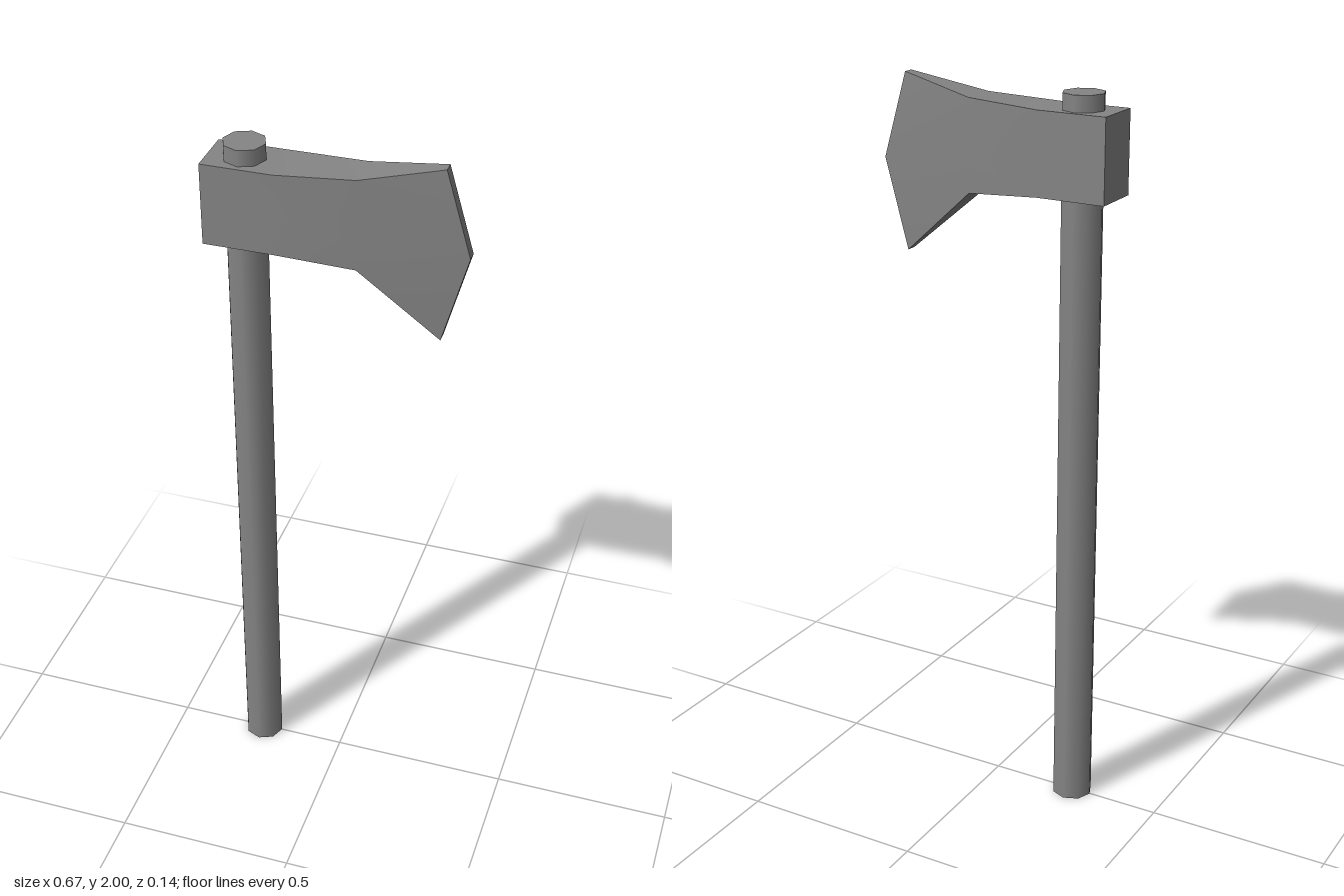
import * as THREE from 'three';
import { toCreasedNormals } from 'three/addons/utils/BufferGeometryUtils.js';

const material = new THREE.MeshStandardMaterial({ color: 0x858585 });

// Skin of the axe head: rings of six corners (front top/mid/bottom, back bottom/mid/top)
function headGeometry() {
  // [x at corners, x at middle, bottom y, middle y, top y, half thickness]
  const stations = [
    [-0.337, -0.337, 1.727, 1.84, 1.947, 0.069],
    [-0.148, -0.148, 1.727, 1.84, 1.947, 0.069],
    [0.058, 0.058, 1.711, 1.8, 1.957, 0.052],
    [0.269, 0.336, 1.526, 1.77, 2.0, 0.015],
  ];
  const points = [];
  for (const [x, xm, y0, ym, y1, t] of stations) {
    points.push(x, y1, t, xm, ym, t, x, y0, t, x, y0, -t, xm, ym, -t, x, y1, -t);
  }
  const index = [];
  const quad = (a, b, c, d) => index.push(a, b, c, a, c, d);
  for (let s = 0; s < stations.length - 1; s++) {
    const a = s * 6, b = a + 6;
    // Cheeks, split so that each diagonal runs from a corner to the next middle
    quad(a, a + 1, b + 1, b);
    quad(a + 2, b + 2, b + 1, a + 1);
    quad(a + 5, b + 5, b + 4, a + 4);
    quad(a + 3, a + 4, b + 4, b + 3);
    // Underside and top
    quad(a + 2, a + 3, b + 3, b + 2);
    quad(a + 5, a, b, b + 5);
  }
  // Poll at the back, cutting edge at the front
  const e = (stations.length - 1) * 6;
  quad(0, 5, 4, 1);
  quad(1, 4, 3, 2);
  quad(e, e + 1, e + 4, e + 5);
  quad(e + 1, e + 2, e + 3, e + 4);

  const geometry = new THREE.BufferGeometry();
  geometry.setAttribute('position', new THREE.Float32BufferAttribute(points, 3));
  geometry.setIndex(index);
  // Cheeks and cutting edge shade smoothly, the long corners stay sharp
  return toCreasedNormals(geometry, 0.7);
}

export function createModel() {
  const model = new THREE.Group();
  model.name = 'axe';

  // Eight-sided shaft running through the head
  const handle = new THREE.Mesh(new THREE.CylinderGeometry(0.056, 0.056, 1.99, 8), material);
  handle.name = 'handle';
  handle.position.set(-0.243, 0.995, -0.001);

  const head = new THREE.Mesh(headGeometry(), material);
  head.name = 'axeHead';

  model.add(handle, head);
  return model;
}
